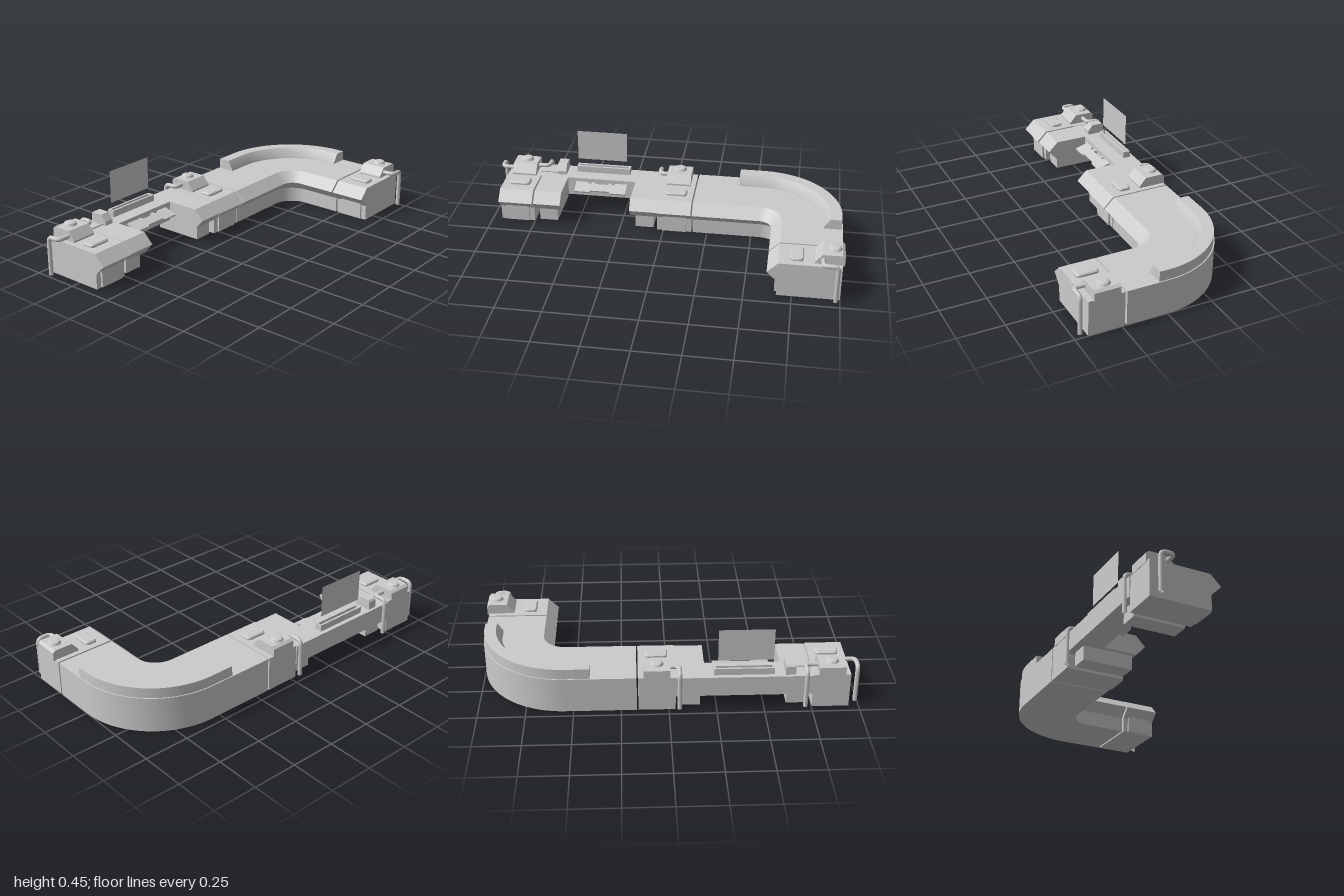
import * as THREE from 'three';
import { toCreasedNormals } from 'three/addons/utils/BufferGeometryUtils.js';

const material = new THREE.MeshStandardMaterial({ color: 0xcccccc });
const thin = new THREE.MeshStandardMaterial({ color: 0xcccccc, side: THREE.DoubleSide });

function add(parent, name, geometry, mat = material) {
  const mesh = new THREE.Mesh(geometry, mat);
  mesh.name = name;
  parent.add(mesh);
  return mesh;
}

function box(parent, name, x0, x1, y0, y1, z0, z1) {
  const mesh = add(parent, name, new THREE.BoxGeometry(x1 - x0, y1 - y0, z1 - z0));
  mesh.position.set((x0 + x1) / 2, (y0 + y1) / 2, (z0 + z1) / 2);
  return mesh;
}

// Sweeps a counter-clockwise (depth, height) profile through rings [x, z, inwardX, inwardZ]
function sweep(profile, rings) {
  const pos = [];
  const at = (j, i) => {
    const [x, z, nx, nz] = rings[j];
    const [d, y] = profile[i % profile.length];
    return [x + nx * d, y, z + nz * d];
  };
  for (let j = 0; j < rings.length - 1; j++) {
    for (let i = 0; i < profile.length; i++) {
      const a = at(j, i), b = at(j, i + 1), c = at(j + 1, i), d = at(j + 1, i + 1);
      pos.push(...a, ...c, ...b, ...b, ...c, ...d);
    }
  }
  const last = rings.length - 1;
  const caps = THREE.ShapeUtils.triangulateShape(profile.map(p => new THREE.Vector2(...p)), []);
  for (const [a, b, c] of caps) {
    pos.push(...at(0, a), ...at(0, b), ...at(0, c));
    pos.push(...at(last, a), ...at(last, c), ...at(last, b));
  }
  const g = new THREE.BufferGeometry();
  g.setAttribute('position', new THREE.Float32BufferAttribute(pos, 3));
  return toCreasedNormals(g, 0.5);
}

const prism = (profile, x, z0, z1) => sweep(profile, [[x, z1, 1, 0], [x, z0, 1, 0]]);

// Straight run, quarter bend, straight run
function bendRings(zStart, xEnd) {
  const R = 0.455, cz = -0.545, rings = [[-R, zStart, 1, 0]];
  for (let k = 0; k <= 20; k++) {
    const a = (k / 20) * Math.PI / 2, c = Math.cos(a), s = Math.sin(a);
    rings.push([-R * c, cz - R * s, c, s]);
  }
  rings.push([xEnd, -1, 0, 1]);
  return rings;
}

// Pipe through points with rounded corners
function pipe(parent, name, points, radius = 0.012) {
  const p = points.map(v => new THREE.Vector3(...v));
  const path = new THREE.CurvePath();
  let from = p[0];
  for (let i = 1; i < p.length - 1; i++) {
    const a = p[i].clone().add(p[i - 1].clone().sub(p[i]).setLength(0.028));
    const b = p[i].clone().add(p[i + 1].clone().sub(p[i]).setLength(0.028));
    path.add(new THREE.LineCurve3(from, a));
    path.add(new THREE.QuadraticBezierCurve3(a, p[i], b));
    from = b;
  }
  path.add(new THREE.LineCurve3(from, p[p.length - 1]));
  add(parent, name, new THREE.TubeGeometry(path, 60, radius, 10, false), thin);
}

// Rounded plate lying flat with a bevelled rim
function pad(parent, name, w, l, h, x, y, z) {
  const s = new THREE.Shape(), r = 0.015, a = w / 2 - 0.006, b = l / 2 - 0.006;
  s.moveTo(-a + r, -b).lineTo(a - r, -b).quadraticCurveTo(a, -b, a, -b + r);
  s.lineTo(a, b - r).quadraticCurveTo(a, b, a - r, b);
  s.lineTo(-a + r, b).quadraticCurveTo(-a, b, -a, b - r);
  s.lineTo(-a, -b + r).quadraticCurveTo(-a, -b, -a + r, -b);
  const g = new THREE.ExtrudeGeometry(s, {
    depth: h - 0.006, bevelThickness: 0.006, bevelSize: 0.006, bevelSegments: 1, curveSegments: 4,
  });
  add(parent, name, g.rotateX(-Math.PI / 2)).position.set(x, y, z);
}

const COUNTER = [[0, 0], [0.33, 0], [0.33, 0.085], [0.385, 0.138], [0.328, 0.195], [0, 0.195]];
const WING = [[0, 0.083], [0.33, 0.083], [0.38, 0.138], [0.325, 0.193], [0, 0.193]];
const RAIL = [[0.006, 0.19], [0.102, 0.19], [0.1, 0.205], [0.07, 0.252], [0.006, 0.252]];
const KNOB_BOX = [[-0.003, 0.19], [0.15, 0.19], [0.15, 0.205], [0.112, 0.25], [0.012, 0.25], [-0.003, 0.238]];

// Cabinet with control box, dome, pad and lower door; local x is depth, z is width
function station(parent, name, x, z, turn, knobDepth) {
  const g = new THREE.Group();
  g.name = name;
  g.position.set(x, 0, z);
  g.rotation.y = turn;
  add(g, 'cabinet', prism(COUNTER, 0, -0.0975, 0.0975));
  box(g, 'door', 0.3, 0.342, 0.004, 0.11, -0.068, 0.068);
  const control = new THREE.Group();
  control.name = 'controlBox';
  control.position.x = knobDepth - 0.05;
  g.add(control);
  add(control, 'controlHousing', prism(KNOB_BOX, 0, -0.07, 0.07));
  const dome = [[0, 0.016], [0.022, 0.016], [0.03, 0.012], [0.036, 0]].reverse();
  const domeGeo = new THREE.LatheGeometry(dome.map(p => new THREE.Vector2(...p)), 24);
  add(control, 'dome', toCreasedNormals(domeGeo, 0.4)).position.set(0.05, 0.25, 0);
  pad(g, 'pad', 0.07, 0.122, 0.016, 0.235, 0.195, 0);
  parent.add(g);
}

export function createModel() {
  const model = new THREE.Group();
  model.name = 'counter';

  // Curved counter and its raised rail
  add(model, 'curvedCounter', sweep(COUNTER, bendRings(-0.168, 0.225)));
  add(model, 'curvedRail', sweep(RAIL, bendRings(-0.41, 0.05)));

  // Three stations
  station(model, 'frontStation', -0.455, 0.85, 0, 0.05);
  station(model, 'middleStation', -0.455, -0.0625, 0, 0.05);
  station(model, 'endStation', 0.3325, -1, -Math.PI / 2, 0.043);

  // Bent pipes dropping to the floor
  const py = 0.222;
  pipe(model, 'frontPipe', [[-0.345, py, 0.9], [-0.345, py, 0.987], [-0.418, py, 0.987], [-0.418, 0.01, 0.987]]);
  for (const [z0, z1] of [[0.8, 0.717], [-0.02, 0.056]])
    pipe(model, 'sidePipe', [[-0.39, py, z0], [-0.39, py, z1], [-0.465, py, z1], [-0.465, 0.01, z1]]);
  pipe(model, 'endPipe', [[0.37, py, -0.9], [0.462, py, -0.9], [0.462, py, -0.977], [0.462, 0.01, -0.977]]);

  // Recessed desk: back wall, two wings with legs
  box(model, 'deskBack', -0.46, -0.315, 0.083, 0.193, 0.033, 0.755);
  for (const [z0, z1] of [[0.035, 0.19], [0.59, 0.745]]) {
    add(model, 'deskWing', prism(WING, -0.455, z0, z1));
    const c = z0 < 0.3 ? 0.112 : 0.672;
    box(model, 'deskLeg', -0.42, -0.14, 0.003, 0.09, c - 0.052, c + 0.052);
  }

  // Slotted projector bar and floating screen
  for (const x of [-0.43, -0.4]) box(model, 'projectorBar', x - 0.006, x + 0.006, 0.19, 0.23, 0.235, 0.55);
  box(model, 'projectorSlot', -0.43, -0.4, 0.19, 0.21, 0.235, 0.55);
  for (const z of [0.235, 0.54]) box(model, 'projectorEnd', -0.436, -0.394, 0.19, 0.23, z, z + 0.01);
  const screen = add(model, 'screen', new THREE.PlaneGeometry(0.29, 0.18), thin);
  screen.rotation.y = Math.PI / 2;
  screen.position.set(-0.415, 0.36, 0.4);

  // Notched sloping tray
  const half = [[0.018, 0.06], [0.018, 0.075], [0.005, 0.08], [0.005, 0.15], [0.085, 0.15], [0.085, 0.065], [0.073, 0.052]];
  const outline = [...half, ...half.map(([x, z]) => [x, -z]).reverse()];
  const trayShape = new THREE.Shape(outline.map(p => new THREE.Vector2(...p)));
  const tray = add(model, 'tray', new THREE.ExtrudeGeometry(trayShape, { depth: 0.01, bevelEnabled: false }).rotateX(-Math.PI / 2));
  tray.position.set(-0.312, 0.17, 0.388);
  tray.rotation.z = -0.3;
  for (const z of [0.34, 0.436]) box(model, 'trayBracket', -0.32, -0.285, 0.155, 0.172, z - 0.012, z + 0.012);

  // Small handset box with its cable
  const handset = [[0.01, 0.19], [0.11, 0.19], [0.11, 0.215], [0.082, 0.25], [0.018, 0.25], [0.01, 0.24]];
  add(model, 'handset', prism(handset, -0.455, 0.607, 0.66));
  pipe(model, 'cable', [[-0.365, 0.198, 0.65], [-0.365, 0.198, 0.7], [-0.365, 0.198, 0.76]], 0.005);

  return model;
}
